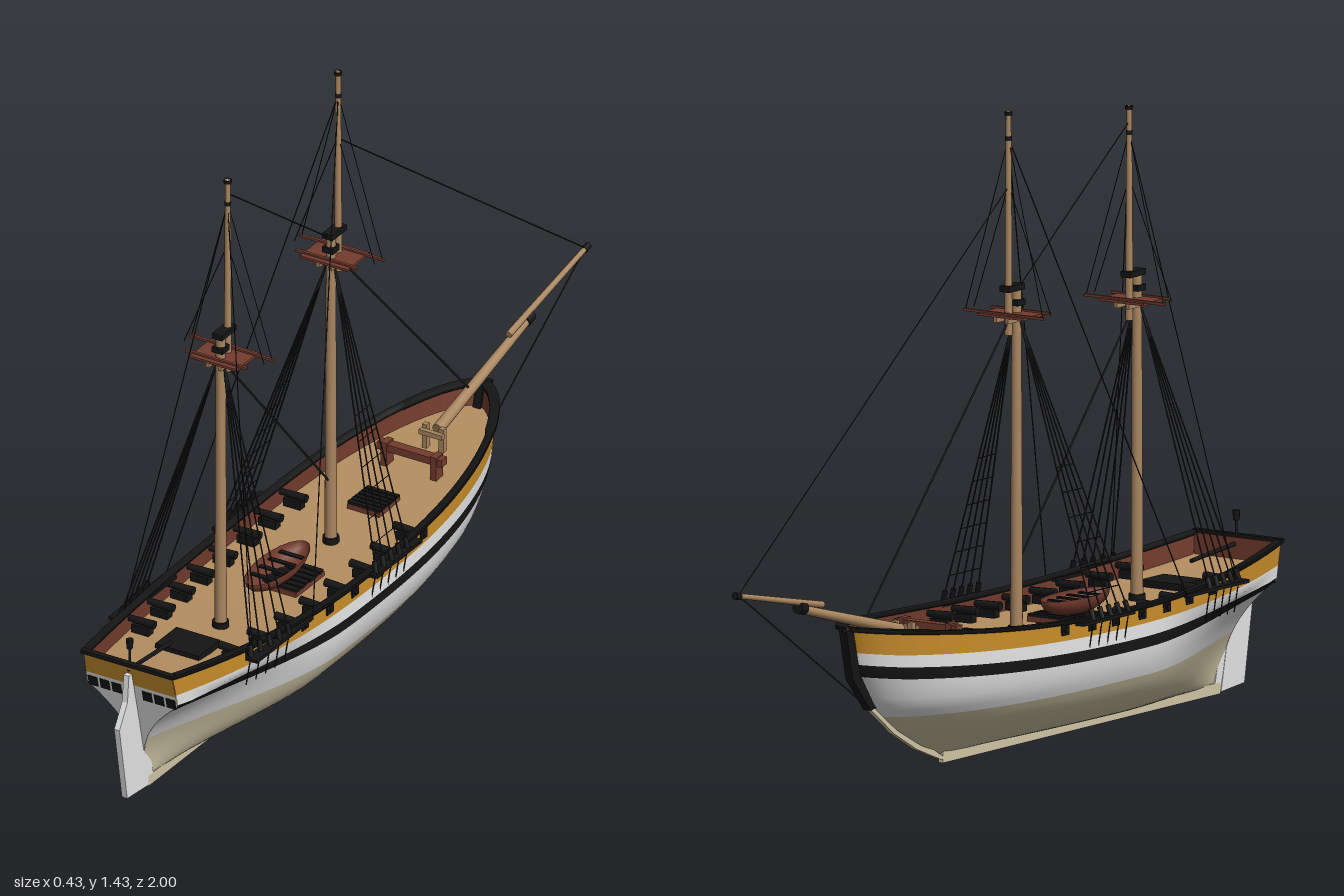
import * as THREE from 'three';

const mat = (name, color, double) => {
  const m = new THREE.MeshStandardMaterial({ color });
  m.name = name;
  if (double) m.side = THREE.DoubleSide;
  return m;
};

export function createModel() {
  const ship = new THREE.Group();
  ship.name = 'sailingShip';
  const white = mat('whitePaint', 0xe4e4e4, true), cream = mat('creamBottom', 0xd0c6a6, true);
  const ochre = mat('ochrePaint', 0xc68c2a, true), black = mat('blackPaint', 0x151515, true);
  const red = mat('redBrownWood', 0x743c2e, true), deckWood = mat('deckWood', 0xb48e60, true);
  const spar = mat('sparWood', 0xa98660), rope = mat('darkRope', 0x1c1c1c);

  const add = (name, geo, m, x = 0, y = 0, z = 0, parent = ship) => {
    const mesh = new THREE.Mesh(geo, m);
    mesh.name = name;
    mesh.position.set(x, y, z);
    parent.add(mesh);
    return mesh;
  };
  const box = (name, m, w, h, d, x, y, z, parent) =>
    add(name, new THREE.BoxGeometry(w, h, d), m, x, y, z, parent);
  // Round bar between two points
  const rod = (name, m, a, b, r0, r1 = r0, sides = 12) => {
    const p = new THREE.Vector3(...a), q = new THREE.Vector3(...b), d = q.clone().sub(p);
    const mesh = add(name, new THREE.CylinderGeometry(r1, r0, d.length(), sides), m);
    mesh.position.copy(p).add(q).multiplyScalar(0.5);
    mesh.quaternion.setFromUnitVectors(new THREE.Vector3(0, 1, 0), d.normalize());
    return mesh;
  };
  const line = (name, a, b, r = 0.0016) => rod(name, rope, a, b, r, r, 4);
  // Upright plate from a z-y outline
  const plate = (name, m, pts, t) => {
    const geo = new THREE.ExtrudeGeometry(new THREE.Shape(pts.map(p => new THREE.Vector2(...p))),
      { depth: t, bevelEnabled: false });
    return add(name, geo.translate(0, 0, -t / 2).rotateY(-Math.PI / 2), m);
  };
  // Surface from a rule f(a, b), with a and b from 0 to 1
  const surface = (name, m, f, na, nb) => {
    const pos = [], idx = [];
    for (let i = 0; i <= na; i++) for (let j = 0; j <= nb; j++) pos.push(...f(i / na, j / nb));
    for (let i = 0; i < na; i++) for (let j = 0; j < nb; j++) {
      const k = i * (nb + 1) + j, n = k + nb + 1;
      idx.push(k, n, k + 1, k + 1, n, n + 1);
    }
    const geo = new THREE.BufferGeometry();
    geo.setAttribute('position', new THREE.Float32BufferAttribute(pos, 3));
    geo.setIndex(idx);
    geo.computeVertexNormals();
    return add(name, geo, m);
  };

  // Hull form: u runs from stern (0) to bow (1)
  const lerp = THREE.MathUtils.lerp, clamp = THREE.MathUtils.clamp;
  const stem = [[0.02, -0.2], [0.05, -0.285], [0.1, -0.38], [0.165, -0.47], [0.25, -0.53], [0.37, -0.56]];
  const stemZ = y => {
    let i = 0;
    while (i < stem.length - 2 && y > stem[i + 1][0]) i++;
    const [a, b] = [stem[i], stem[i + 1]];
    return lerp(a[1], b[1], (y - a[0]) / (b[0] - a[0]));
  };
  const sternZ = y => 0.87 + 0.24 * y;
  const sheer = u => 0.3 + (u < 0.43 ? 0.25 : 0.17) * (u - 0.43) ** 2;
  const beam = u => u < 0.5 ? 0.197 - 0.077 * (1 - 2 * u) ** 2.2
    : 0.197 * Math.max(0, 1 - (2 * u - 1) ** 2.6) ** 0.6;
  const width = (u, y) => {
    const s = clamp((y - 0.02) / 0.2, 0, 1), st = clamp((y - 0.02) / 0.24, 0, 1);
    const round = Math.sqrt(1 - (1 - s) ** 2) ** (1 + 0.6 * u * u * u);
    const aft = Math.max(0, 1 - u / 0.4) ** 1.5;
    return beam(u) * lerp(round, st ** 2.6, aft) * (1 - 0.25 * Math.max(0, y - 0.22));
  };
  const hullZ = (u, y) => lerp(sternZ(y), stemZ(y), u);
  const run = a => Math.sin(a * Math.PI / 2);
  const ends = u => Math.min(1, ((u - 0.45) / 0.5) ** 2);
  const deckY = z => sheer(clamp((0.945 - z) / 1.5, 0, 1)) - 0.05;
  const sideX = z => { const u = clamp((0.945 - z) / 1.5, 0, 1); return width(u, sheer(u)); };

  // Painted planking, bottom to rail
  const levels = [() => 0.02, () => 0.138, u => sheer(u) - 0.095 - 0.018 * ends(u),
    u => sheer(u) - 0.07 - 0.014 * ends(u), u => sheer(u) - 0.04 - 0.016 * ends(u), sheer];
  const bands = [['bottomPlanking', cream, 16], ['topsidePlanking', white, 6], ['blackWale', black, 2],
    ['whiteStrake', white, 2], ['ochreBulwark', ochre, 2]];
  for (const s of [1, -1]) {
    bands.forEach(([name, m, n], i) => surface(name, m, (a, b) => {
      const u = run(a), y = lerp(levels[i](u), levels[i + 1](u), i ? b : b * b);
      return [s * width(u, y), y, hullZ(u, y)];
    }, 56, n));
    surface('innerBulwark', red, (a, b) => {
      const u = run(a), y = sheer(u) - 0.055 * (1 - b);
      return [s * Math.max(0, width(u, y) - 0.008), y, hullZ(u, y) + (u - 0.5) * 0.014];
    }, 56, 1);
    // Rail cap as a swept rectangle
    const corner = [[0.005, 0.003], [-0.012, 0.003], [-0.012, -0.006], [0.005, -0.006], [0.005, 0.003]];
    surface('railCap', black, (a, b) => {
      const u = run(a), y = sheer(u), c = corner[Math.round(b * 4)];
      return [s * Math.max(0, width(u, y) + c[0]), y + c[1], hullZ(u, y) - (u > 0.9 ? c[0] : 0)];
    }, 56, 4);
  }
  surface('deck', deckWood, (a, b) => {
    const u = run(a), y = sheer(u) - 0.05;
    return [(1 - 2 * b) * Math.max(0, width(u, y) - 0.004), y, hullZ(u, y)];
  }, 56, 2);

  // Transom with windows
  const transom = (name, m, y0, y1, n) => surface(name, m, (a, b) => {
    const y = lerp(y0, y1, a);
    return [(1 - 2 * b) * width(0, y), y, sternZ(y) + 0.001];
  }, n, 2);
  transom('transomLower', white, 0.1, 0.288, 14);
  transom('transomUpper', ochre, 0.288, sheer(0), 2);
  box('transomRail', black, 0.24, 0.009, 0.014, 0, sheer(0), sternZ(sheer(0)));
  box('transomLining', red, 0.22, 0.05, 0.004, 0, sheer(0) - 0.027, sternZ(sheer(0)) - 0.014);
  for (const s of [1, -1]) for (let i = 0; i < 3; i++)
    box('sternWindow', black, 0.024, 0.026, 0.006, s * (0.04 + i * 0.031), 0.266, sternZ(0.266)).rotation.x = 0.236;

  // Keel, stem and rudder
  box('keel', cream, 0.012, 0.026, 1.075, 0, 0.013, 0.3375);
  plate('sternPost', white, [[0.85, 0.01], [0.876, 0.01], [0.945, 0.29], [0.9, 0.2]], 0.012);
  plate('lowerStem', cream, [[-0.18, 0.004], [-0.21, 0.01], [-0.3, 0.045], [-0.39, 0.094], [-0.485, 0.165],
    [-0.46, 0.165], [-0.37, 0.105], [-0.27, 0.055]], 0.012);
  plate('stemPost', black, [[-0.46, 0.165], [-0.485, 0.16], [-0.555, 0.24], [-0.58, 0.352], [-0.535, 0.352], [-0.51, 0.25]], 0.02);
  plate('rudder', white, [[0.876, 0.004], [0.967, 0.012], [1, 0.2], [0.966, 0.255], [0.96, 0.32], [0.945, 0.32]], 0.014);
  rod('tiller', black, [0, 0.33, 0.95], [0, 0.315, 0.77], 0.005);
  rod('lanternPost', black, [0, 0.34, 0.945], [0, 0.39, 0.945], 0.003);
  rod('sternLantern', black, [0, 0.382, 0.945], [0, 0.405, 0.945], 0.007, 0.009, 8);

  // Guns, carriages and ports
  for (const s of [1, -1]) for (const z of [0.01, 0.11, 0.2, 0.305, 0.405, 0.5, 0.6, 0.7]) {
    const x = sideX(z), y = deckY(z) + 0.033;
    rod('gunBarrel', black, [s * (x - 0.075), y, z], [s * (x + 0.008), y, z], 0.01, 0.007, 10);
    box('gunCarriage', black, 0.045, 0.02, 0.022, s * (x - 0.042), y - 0.018, z);
    box('gunPort', black, 0.008, 0.028, 0.027, s * x, y + 0.002, z);
  }

  // Deck fittings
  const grating = (z, w, d) => {
    const y = deckY(z);
    box('hatchCoaming', red, w, 0.012, d, 0, y + 0.006, z);
    for (let i = 0; i < 6; i++)
      box('hatchBar', black, w, 0.008, d / 8, 0, y + 0.014, z + d * ((i + 0.5) / 6 - 0.5));
  };
  grating(-0.088, 0.084, 0.09);
  grating(0.29, 0.135, 0.12);
  box('aftHatch', black, 0.114, 0.016, 0.09, 0, deckY(0.7) + 0.008, 0.7);
  box('windlassBeam', red, 0.17, 0.018, 0.024, 0, deckY(-0.25) + 0.045, -0.25);
  for (const s of [1, -1]) {
    box('windlassPost', red, 0.016, 0.06, 0.03, s * 0.065, deckY(-0.25) + 0.028, -0.25);
    box('bowBitt', spar, 0.012, 0.06, 0.014, s * 0.022, deckY(-0.345) + 0.03, -0.345);
  }
  box('bittBeam', spar, 0.06, 0.012, 0.012, 0, deckY(-0.345) + 0.045, -0.333);

  // Ship's boat
  const boat = add('boatHull', new THREE.SphereGeometry(1, 20, 8, 0, Math.PI * 2, Math.PI / 2, Math.PI / 2),
    red, 0, deckY(0.32) + 0.055, 0.32);
  boat.scale.set(0.045, 0.045, 0.12);
  for (const dz of [-0.06, -0.02, 0.02, 0.06])
    box('boatThwart', black, 0.072 - Math.abs(dz) * 0.2, 0.004, 0.012, 0, deckY(0.32) + 0.048, 0.32 + dz);

  // Masts, tops and their rigging
  const mast = ({ z, top, capY, topZ, peak, shroudZ, chan, stayZ, rat }) => {
    rod('lowerMast', spar, [0, 0.24, z], [0, capY, z], 0.0145, 0.011, 16);
    rod('topmast', spar, [0, top - 0.045, topZ], [0, peak, topZ], 0.009, 0.006, 12);
    rod('mastTruck', black, [0, peak - 0.008, topZ], [0, peak, topZ], 0.009);
    rod('topmastBand', black, [0, peak - 0.065, topZ], [0, peak - 0.055, topZ], 0.0075);
    rod('mastCoat', black, [0, deckY(z), z], [0, deckY(z) + 0.015, z], 0.019);
    const mid = (z + topZ) / 2;
    box('mastCap', black, 0.026, 0.014, 0.062, 0, capY, mid);
    box('mastHeadBand', black, 0.028, 0.014, 0.03, 0, capY - 0.035, z);
    box('topPlatform', red, 0.124, 0.006, 0.094, 0, top, mid);
    for (const dz of [-0.032, 0.032]) box('crosstree', red, dz < 0 ? 0.22 : 0.16, 0.006, 0.007, 0, top + 0.004, mid + dz);
    for (const s of [1, -1]) {
      box('trestleTree', spar, 0.008, 0.012, 0.09, s * 0.016, top - 0.009, mid);
      const [c0, c1] = chan, cz = (c0 + c1) / 2, cx = sideX(cz);
      box('channel', black, 0.03, 0.008, c1 - c0, s * (cx + 0.006), 0.297, cz);
      const foot = t => [s * (sideX(lerp(...shroudZ, t)) + 0.013), 0.3, lerp(...shroudZ, t)];
      const head = [s * 0.008, top - 0.01, z];
      const at = (t, y) => { const f = foot(t), k = (y - f[1]) / (head[1] - f[1]); return f.map((v, i) => lerp(v, head[i], k)); };
      for (let i = 0; i < 5; i++) {
        const f = foot(i / 4);
        line('shroud', f, head, 0.0021);
        rod('deadeye', black, f, at(i / 4, 0.325), 0.006, 0.006, 6);
        line('chainPlate', f, [s * sideX(f[2]), 0.225, f[2]], 0.0016);
      }
      if (rat) for (let y = 0.36; y < 0.68; y += 0.055) line('ratline', at(0, y), at(1, y), 0.0013);
      for (const dz of [-0.032, 0.0]) line('topmastShroud', [s * 0.105, top + 0.006, mid + dz], [0, peak - (dz ? 0.06 : 0.165), topZ], 0.0012);
      line('backstay', [0, peak - 0.06, topZ], [s * (sideX(stayZ) + 0.008), 0.3, stayZ], 0.0014);
    }
  };
  mast({ z: 0.093, top: 0.975, capY: 1.035, topZ: 0.062, peak: 1.435, shroudZ: [0.1, 0.235], chan: [0.05, 0.25], stayZ: 0.48, rat: true });
  mast({ z: 0.56, top: 0.94, capY: 1.0, topZ: 0.53, peak: 1.38, shroudZ: [0.575, 0.71], chan: [0.48, 0.72], stayZ: 0.7, rat: false });

  // Bowsprit and jib boom
  rod('bowsprit', spar, [0, 0.325, -0.36], [0, 0.43, -0.755], 0.014, 0.01, 14);
  rod('jibBoom', spar, [0, 0.425, -0.66], [0, 0.492, -0.985], 0.008, 0.006);
  rod('bowspritCap', black, [0, 0.426, -0.73], [0, 0.432, -0.755], 0.014);
  rod('jibBoomTip', black, [0, 0.49, -0.98], [0, 0.494, -0.999], 0.008);

  // Fore-and-aft stays
  line('jibStay', [0, 1.265, 0.062], [0, 0.493, -0.985]);
  line('foreStay', [0, 0.97, 0.07], [0, 0.36, -0.5], 0.0028);
  line('mainStay', [0, 0.915, 0.54], [0, 0.41, 0.1], 0.0028);
  line('mainTopmastStay', [0, 1.345, 0.53], [0, 1.03, 0.1]);
  line('bobstay', [0, 0.49, -0.98], [0, 0.165, -0.48], 0.002);
  return ship;
}
